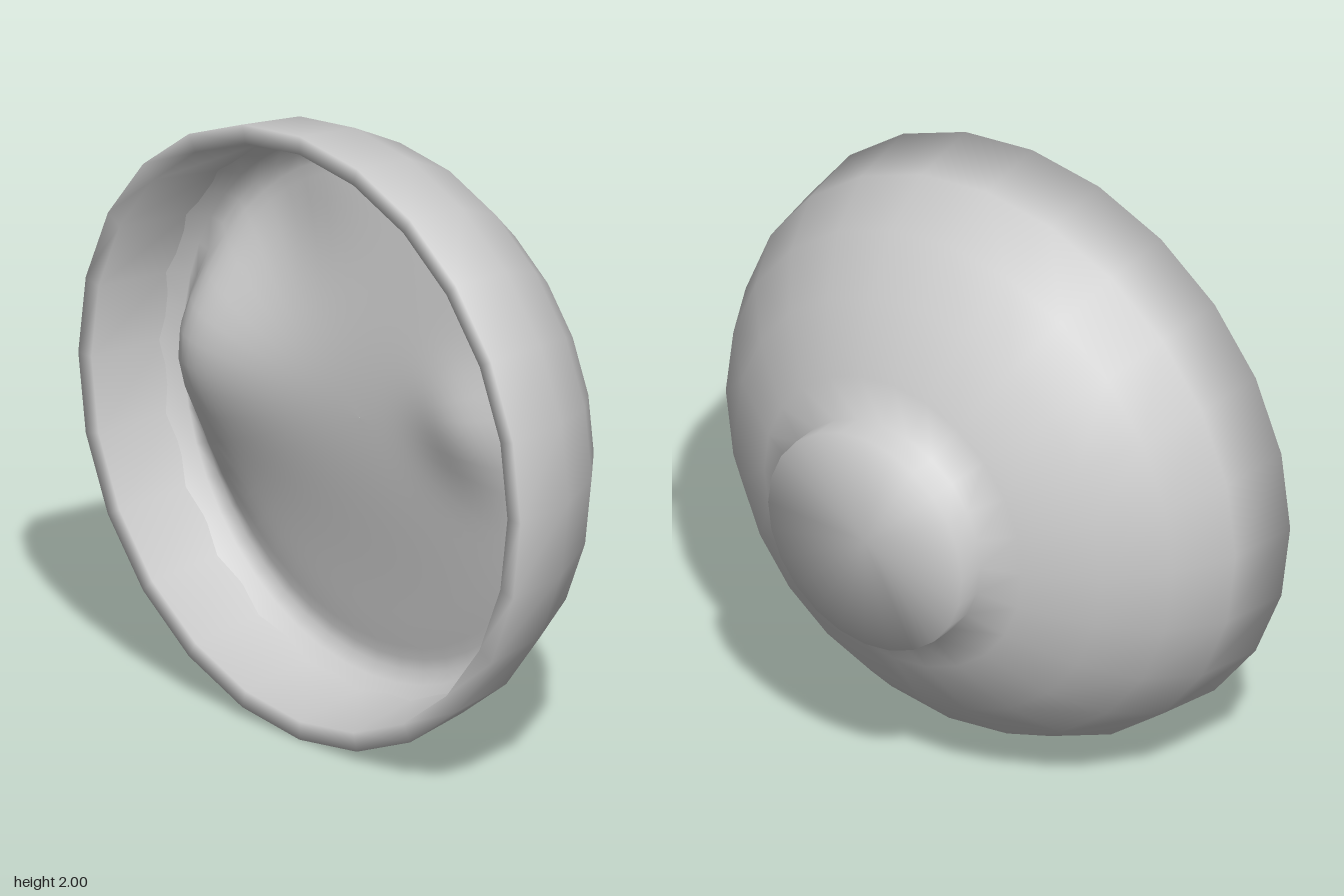
import * as THREE from 'three';
import { mergeVertices } from 'three/addons/utils/BufferGeometryUtils.js';

const SIDES = 24;

// Lathe around z whose normals weigh neighbouring profile segments equally
function softLathe(points) {
  const profile = points.map(([r, d]) => new THREE.Vector2(r, d));
  const geometry = new THREE.LatheGeometry(profile, SIDES);
  const facing = (a, b) => new THREE.Vector2(b.y - a.y, a.x - b.x).normalize();
  const last = profile.length - 1;
  const normals = profile.map((p, j) => {
    const before = facing(profile[Math.max(j - 1, 0)], profile[Math.max(j, 1)]);
    const after = facing(profile[Math.min(j, last - 1)], profile[Math.min(j + 1, last)]);
    return before.add(after).normalize();
  });
  for (let i = 0; i <= SIDES; i++) {
    const angle = (i / SIDES) * Math.PI * 2;
    normals.forEach((n, j) => geometry.attributes.normal.setXYZ(
      i * profile.length + j, n.x * Math.sin(angle), n.y, n.x * Math.cos(angle)));
  }
  return geometry.rotateX(Math.PI / 2);
}

export function createModel() {
  const group = new THREE.Group();
  const grey = new THREE.MeshStandardMaterial({ color: 0xcccccc });

  // Bowl shell: foot, outer wall, rim, then inner wall (radius, depth)
  const shell = softLathe([
    [0, -0.43], [0.375, -0.43], [0.375, -0.335], [0.5, -0.285], [0.71, -0.155],
    [0.866, 0], [0.966, 0.19], [1, 0.425], [0.94, 0.425], [0.9, 0.16],
  ]);
  const bowl = new THREE.Mesh(shell, grey);
  bowl.name = 'bowl';
  group.add(bowl);

  // Contents: a soft uneven mound that curves up into the inner wall
  const ring = new THREE.RingGeometry(0.001, 0.905, SIDES * 2, 24);
  ring.deleteAttribute('uv');
  ring.deleteAttribute('normal');
  const disc = mergeVertices(ring);
  const pos = disc.attributes.position;
  // Smooth lump centred at (cx, cy) with its own width and height
  const lump = (x, y, cx, cy, w, h) => Math.exp(-(((x - cx) / w) ** 2) - ((y - cy) / h) ** 2);
  for (let i = 0; i < pos.count; i++) {
    const x = pos.getX(i), y = pos.getY(i), r = Math.hypot(x, y);
    const height = 0.11 * lump(x, y, 0, 0.05, 1.2, 0.65)
      + 0.15 * lump(x, y, -0.78, 0.06, 0.45, 0.32)
      + 0.06 * lump(x, y, 0.48, 0.1, 0.2, 0.17)
      - 0.05 * lump(x, y, -0.5, 0.5, 0.25, 0.25);
    const edge = Math.max(0, 1 - (r / 0.85) ** 14);
    const fillet = Math.max(0, (r - 0.76) / 0.145) ** 3;
    const floor = 0.055 - 0.03 * y + height * edge;
    pos.setZ(i, THREE.MathUtils.lerp(floor, 0.18, fillet));
  }
  disc.computeVertexNormals();
  const contents = new THREE.Mesh(disc, grey);
  contents.name = 'contents';
  group.add(contents);

  group.children.forEach((part) => { part.position.y = 1; });
  return group;
}
